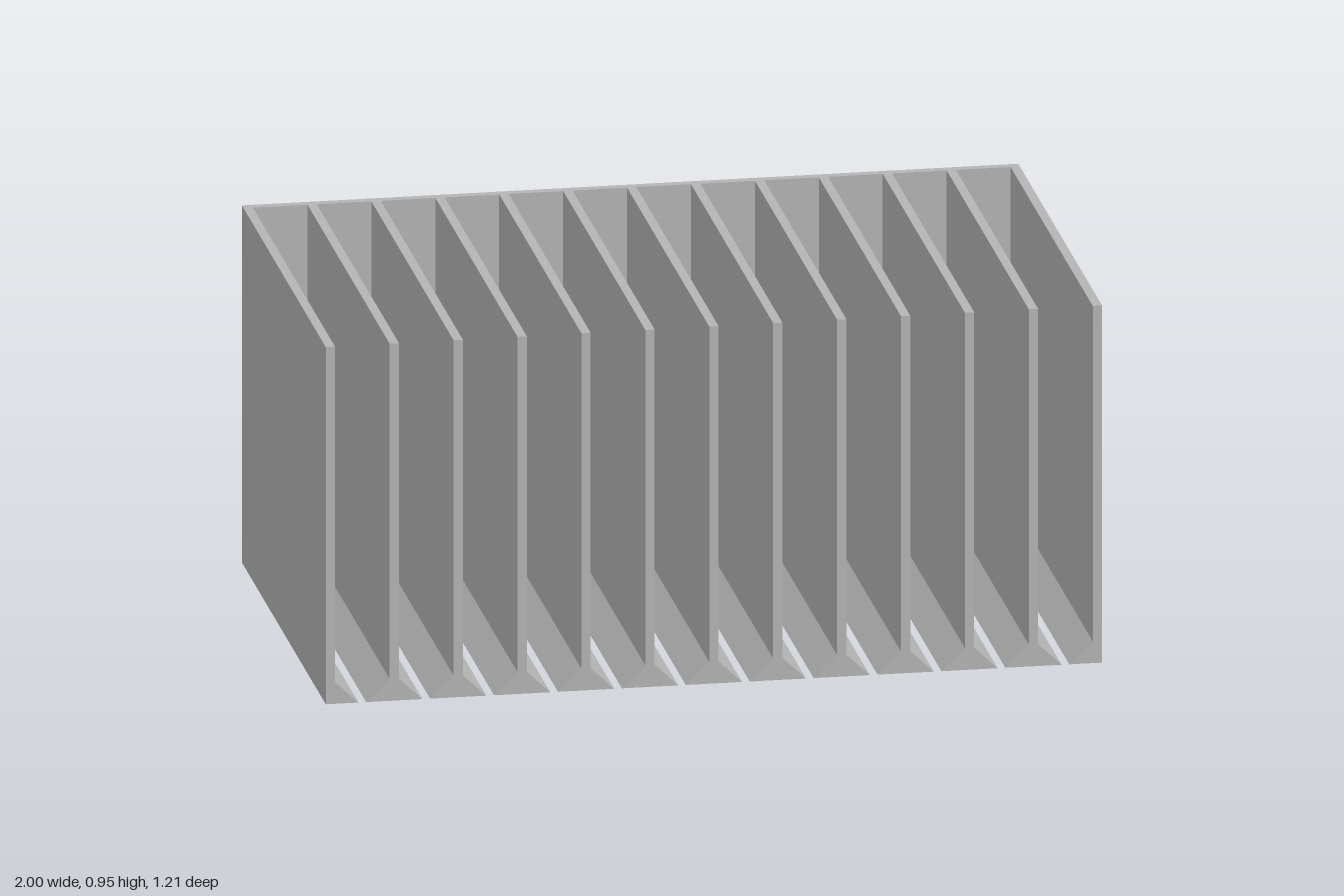
import * as THREE from 'three';

const HEIGHT = 0.95, DEPTH = 1.212, WALL = 0.024;
const BAYS = 12, PITCH = (2 - WALL) / BAYS;
const FOOT_HALF = 0.0725, FOOT_TOP = 0.058;

export function createModel() {
  const model = new THREE.Group();
  model.name = 'slottedRack';
  const grey = new THREE.MeshStandardMaterial({ color: 0xb4b4b4 });
  grey.name = 'grey';

  // Upright divider with a flared foot; end walls flare only inwards
  const addDivider = (x, flareLeft, flareRight, name) => {
    const h = WALL / 2;
    const left = flareLeft ? FOOT_HALF : h;
    const right = flareRight ? FOOT_HALF : h;
    const profile = new THREE.Shape([
      [-left, 0], [right, 0], [h, FOOT_TOP], [h, HEIGHT], [-h, HEIGHT], [-h, FOOT_TOP],
    ].map(([px, py]) => new THREE.Vector2(px, py)));
    const geometry = new THREE.ExtrudeGeometry(profile, { depth: DEPTH, bevelEnabled: false });
    const mesh = new THREE.Mesh(geometry, grey);
    mesh.position.set(x, 0, -DEPTH / 2);
    mesh.name = name;
    model.add(mesh);
  };

  for (let i = 0; i <= BAYS; i++) {
    const x = -1 + WALL / 2 + i * PITCH;
    const isEnd = i === 0 || i === BAYS;
    addDivider(x, i > 0, i < BAYS, isEnd ? 'endWall' : 'divider');
    if (i === BAYS) continue;

    // Back panel closing each bay, raised above the floor openings
    const panel = new THREE.Mesh(
      new THREE.BoxGeometry(PITCH - WALL, HEIGHT - FOOT_TOP, WALL), grey);
    panel.position.set(x + PITCH / 2, (HEIGHT + FOOT_TOP) / 2, -DEPTH / 2 + WALL / 2);
    panel.name = 'backPanel';
    model.add(panel);
  }
  return model;
}
